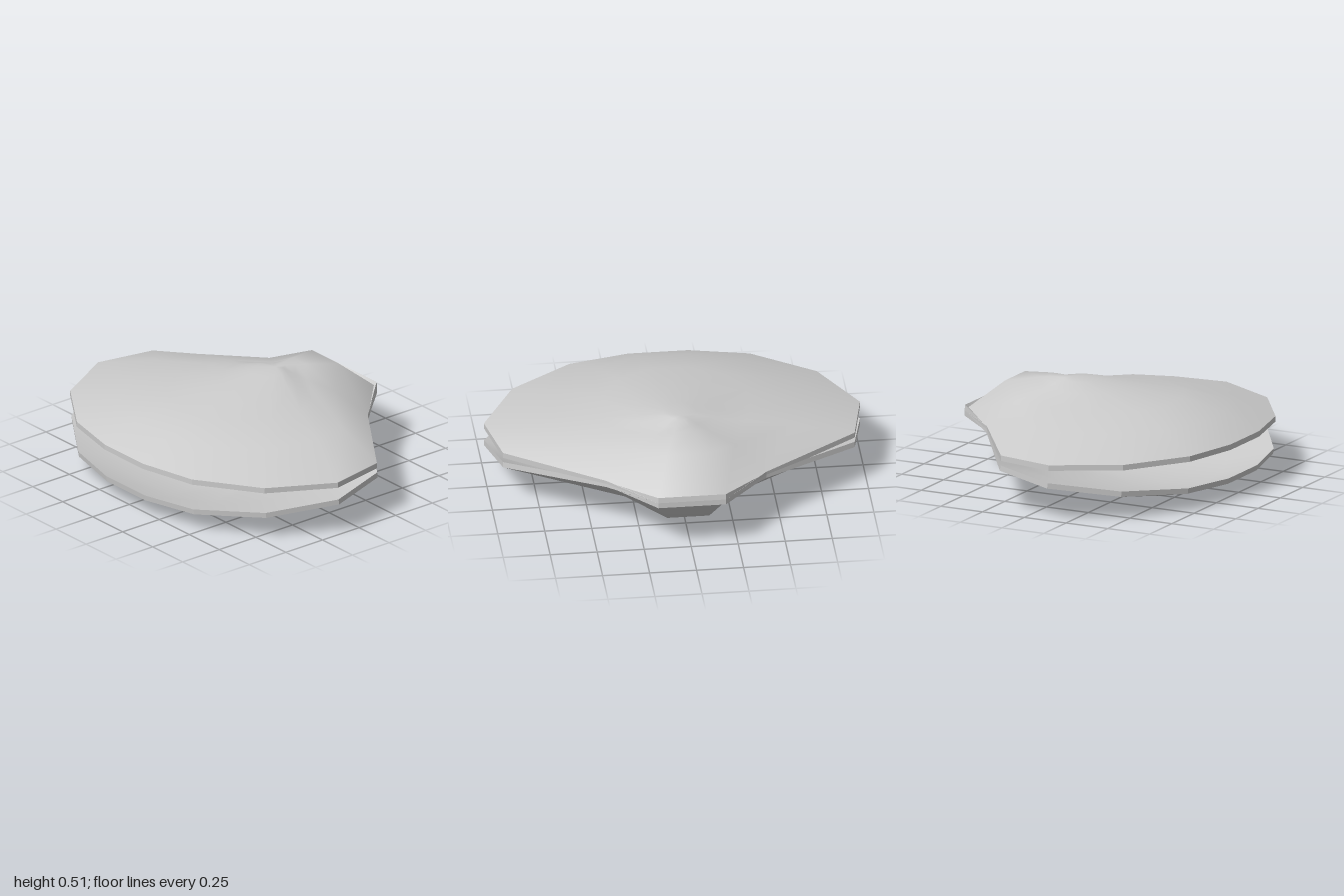
import * as THREE from 'three';

const HINGE_Y = 0.305, HINGE_Z = -0.795, WALL = 0.03, UMBO_Z = -0.25, OPENING = 0.137;

// Left half of the rim outline, back to front, as [x, z]; mirrored for the right half
const half = [[0.18, -0.795], [0.425, -0.53], [0.935, -0.175], [1, 0.145], [0.81, 0.49], [0.48, 0.715], [0.16, 0.787]];
const outline = [...half, ...half.map(([x, z]) => [-x, z]).reverse()];
const N = outline.length;

// Growth rings from rim to umbo: scale and height above the rim toward the back, side and front
const rings = [
  { scale: [1, 1, 1], height: [0, 0, 0] },
  { scale: [0.62, 0.64, 0.82], height: [0.18, 0.09, 0.09] },
  { scale: [0.28, 0.37, 0.6], height: [0.207, 0.135, 0.145] },
  { scale: [0.2, 0.2, 0.3], height: [0.209, 0.175, 0.181] },
  { scale: [0.1, 0.08, 0.14], height: [0.21, 0.209, 0.206] },
];
const CROWN = 0.211;

function blend([back, side, front], w) {
  return w < 0 ? side + (back - side) * -w : side + (front - side) * w;
}

function makeGeometry(points, faces, flip) {
  const g = new THREE.BufferGeometry();
  g.setAttribute('position', new THREE.Float32BufferAttribute(points.flat(), 3));
  g.setIndex(faces.flatMap(([a, b, c]) => (flip ? [a, c, b] : [a, b, c])));
  return g;
}

// One domed skin; sign = 1 domes up, -1 domes down; drop shifts the inner skin
function skin(sign, drop, inner) {
  const points = [], faces = [];
  for (const { scale, height } of rings) {
    for (const [x, z] of outline) {
      const dz = z - UMBO_Z, c = dz / Math.hypot(x, dz), w = c * Math.abs(c);
      const s = blend(scale, w);
      points.push([x * s, sign * (blend(height, w) - drop), UMBO_Z + dz * s - HINGE_Z]);
    }
  }
  const tip = points.push([0, sign * (CROWN - drop), UMBO_Z - HINGE_Z]) - 1;
  for (let r = 0; r < rings.length; r++) {
    for (let i = 0; i < N; i++) {
      const a = r * N + i, b = r * N + (i + 1) % N;
      if (r === rings.length - 1) faces.push([a, tip, b]);
      else faces.push([a, a + N, b], [b, a + N, b + N]);
    }
  }
  const g = makeGeometry(points, faces, (sign < 0) !== inner);
  g.computeVertexNormals();
  return g;
}

// Straight faceted wall joining the outer and inner skins
function rim(sign) {
  const points = [], faces = [];
  outline.forEach(([x, z]) => points.push([x, 0, z - HINGE_Z], [x, -sign * WALL, z - HINGE_Z]));
  for (let i = 0; i < N; i++) {
    const a = 2 * i, b = 2 * ((i + 1) % N);
    faces.push([a, b, a + 1], [b, b + 1, a + 1]);
  }
  const g = makeGeometry(points, faces, sign < 0).toNonIndexed();
  g.computeVertexNormals();
  return g;
}

function makeValve(name, sign) {
  const valve = new THREE.Group();
  valve.name = name;
  const material = new THREE.MeshStandardMaterial({ color: 0xcccccc, side: THREE.DoubleSide });
  const parts = { OuterSurface: skin(sign, 0, false), InnerSurface: skin(sign, WALL, true), Rim: rim(sign) };
  for (const [part, geometry] of Object.entries(parts)) {
    const mesh = new THREE.Mesh(geometry, material);
    mesh.name = name + part;
    valve.add(mesh);
  }
  valve.position.set(0, HINGE_Y, HINGE_Z);
  return valve;
}

export function createModel() {
  const model = new THREE.Group();
  model.name = 'clamShell';
  const upper = makeValve('upperValve', 1);
  // The lower valve mirrors the upper one and swings open about the hinge
  const lower = makeValve('lowerValve', -1);
  lower.rotation.x = OPENING;
  model.add(upper, lower);
  return model;
}
